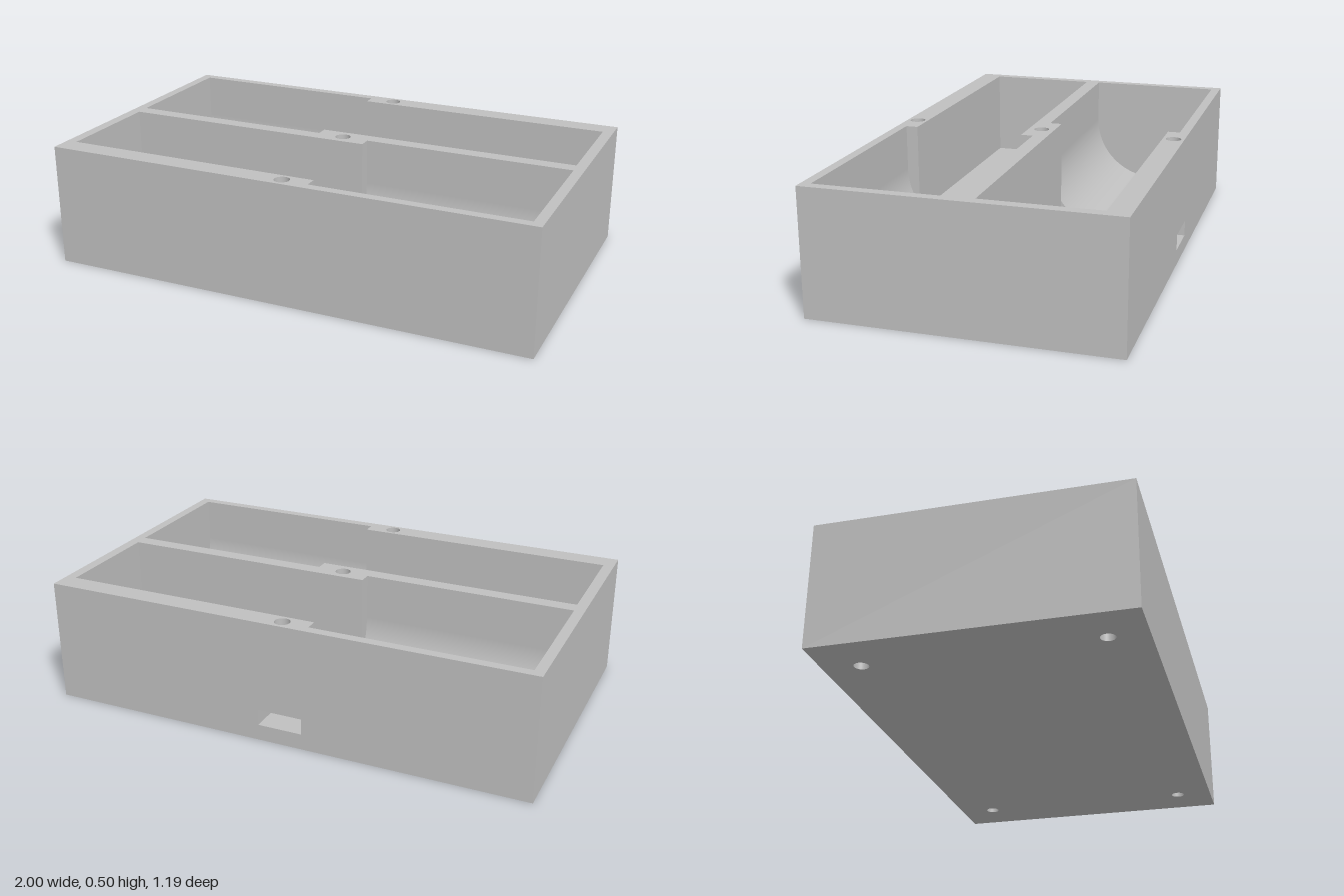
import * as THREE from 'three';

const W = 1, D = 0.593, H = 0.5;              // half width, half depth, height
const ZC = -0.28, R = 0.275, AXIS = 0.317;    // trough centre, radius, axis height
const X0 = -0.96, XS = -0.11, X1 = 0.957;     // trough end, shoulder, tray end
const HALF = 0.226, FLOOR = 0.13, LOW = 0.065; // tray half depth, floor, recess floor
const ZB = ZC - HALF, ZF = ZC + HALF;

const grey = new THREE.MeshStandardMaterial({ color: 0xc0c0c0, side: THREE.DoubleSide });
grey.name = 'grey plastic';

const rect = (a0, a1, b0, b1) => [[a0, b0], [a1, b0], [a1, b1], [a0, b1]];

const circle = (a, b, r, n = 32) => Array.from({ length: n }, (_, i) => {
  const t = (i / n) * Math.PI * 2;
  return [a + r * Math.cos(t), b + r * Math.sin(t)];
});

// Points on the trough's curve, in (z, y)
const arc = (t0, t1, n = 40) => Array.from({ length: n + 1 }, (_, i) => {
  const t = t0 + ((t1 - t0) * i) / n;
  return [ZC + R * Math.cos(t), AXIS + R * Math.sin(t)];
});

function add(group, name, geometry) {
  const mesh = new THREE.Mesh(geometry, grey);
  mesh.name = name;
  group.add(mesh);
  return mesh;
}

// Flat face square to an axis; outline is (z, y), (x, z) or (x, y)
function sheet(group, name, axis, sign, at, outline, holes = []) {
  const path = (pts) => pts.map(([a, b]) => new THREE.Vector2(a, b));
  const shape = new THREE.Shape(path(outline));
  holes.forEach((h) => shape.holes.push(new THREE.Path(path(h))));
  const g = new THREE.ShapeGeometry(shape);
  const p = g.attributes.position;
  for (let i = 0; i < p.count; i++) {
    const a = p.getX(i), b = p.getY(i);
    if (axis === 'x') p.setXYZ(i, at, b, a);
    else if (axis === 'y') p.setXYZ(i, a, at, b);
    else p.setXYZ(i, a, b, at);
  }
  if ((axis === 'z' ? 1 : -1) !== sign) g.index.array.reverse();
  g.computeVertexNormals();
  return add(group, name, g);
}

// Turns a geometry inside out
function inward(g) {
  g.index.array.reverse();
  const n = g.attributes.normal.array;
  for (let i = 0; i < n.length; i++) n[i] = -n[i];
  return g;
}

// Blind round hole going down (dir -1) or up (dir 1) from a face
function blindHole(group, name, x, z, r, y, depth, dir) {
  const bore = inward(new THREE.CylinderGeometry(r, r, depth, 32, 1, true));
  bore.translate(x, y + (dir * depth) / 2, z);
  add(group, name, bore);
  sheet(group, name + 'End', 'y', -dir, y + dir * depth, circle(x, z, r));
}

// Four walls and floor of a rectangular recess
function recess(group, name, x0, x1, z0, z1, y0, y1) {
  sheet(group, name + 'Floor', 'y', 1, y0, rect(x0, x1, z0, z1));
  sheet(group, name + 'Side', 'x', 1, x0, rect(z0, z1, y0, y1));
  sheet(group, name + 'Side', 'x', -1, x1, rect(z0, z1, y0, y1));
  sheet(group, name + 'Front', 'z', -1, z1, rect(x0, x1, y0, y1));
  if (z0 > -D) sheet(group, name + 'Back', 'z', 1, z0, rect(x0, x1, y0, y1));
}

// Round-bottomed trough opening into a flat tray
function compartment(name, withChannel) {
  const g = new THREE.Group();
  g.name = name;

  const trough = inward(new THREE.CylinderGeometry(R, R, XS - X0, 64, 1, true, Math.PI, Math.PI));
  trough.rotateZ(Math.PI / 2).translate((X0 + XS) / 2, AXIS, ZC);
  add(g, 'troughCurve', trough);
  sheet(g, 'troughWall', 'z', 1, ZC - R, rect(X0, XS, AXIS, H));
  sheet(g, 'troughWall', 'z', -1, ZC + R, rect(X0, XS, AXIS, H));
  sheet(g, 'troughEnd', 'x', 1, X0, [[ZC - R, H], ...arc(Math.PI, 2 * Math.PI), [ZC + R, H]]);

  // Shoulders, and the step up to the tray floor
  const tSide = Math.acos(HALF / R), tFloor = Math.asin((AXIS - FLOOR) / R);
  sheet(g, 'shoulder', 'x', -1, XS, [[ZB, H], [ZC - R, H], ...arc(Math.PI, Math.PI + tSide, 12)]);
  sheet(g, 'shoulder', 'x', -1, XS, [[ZF, H], [ZC + R, H], ...arc(2 * Math.PI, 2 * Math.PI - tSide, 12)]);
  sheet(g, 'floorStep', 'x', -1, XS, arc(Math.PI + tFloor, 2 * Math.PI - tFloor));
  sheet(g, 'floorNotch', 'x', 1, XS, [[ZB, FLOOR], ...arc(Math.PI + tSide, Math.PI + tFloor, 6)]);
  sheet(g, 'floorNotch', 'x', 1, XS, [[ZF, FLOOR], ...arc(2 * Math.PI - tSide, 2 * Math.PI - tFloor, 6)]);

  // Tray
  sheet(g, 'trayWall', 'z', 1, ZB, rect(XS, X1, FLOOR, H));
  sheet(g, 'trayWall', 'z', -1, ZF, rect(XS, X1, FLOOR, H));
  sheet(g, 'trayEnd', 'x', -1, X1, rect(ZB, ZF, FLOOR, H));
  const slot = [0.78, 0.932, -0.318, ZF];
  const x = withChannel ? 0.092 : XS;
  sheet(g, 'trayFloor', 'y', 1, FLOOR,
    [[x, ZB], [X1, ZB], [X1, ZF], [slot[1], ZF], [slot[1], slot[2]], [slot[0], slot[2]], [slot[0], ZF], [x, ZF]]);
  recess(g, 'floorRecess', ...slot, LOW, FLOOR);

  // Cable channel running out through the wall
  if (withChannel) {
    sheet(g, 'trayFloorStrip', 'y', 1, FLOOR, rect(XS, -0.092, ZB, ZF));
    recess(g, 'cableChannel', -0.092, 0.092, -D, ZF, LOW, FLOOR);
    sheet(g, 'cableChannelTop', 'y', -1, FLOOR, rect(-0.092, 0.092, -D, ZB));
  }
  return g;
}

export function createModel() {
  const model = new THREE.Group();
  model.name = 'batteryTray';

  // Compartments, the front one turned half round
  model.add(compartment('backCompartment', true));
  const front = compartment('frontCompartment', false);
  front.rotation.y = Math.PI;
  model.add(front);

  // Rim with both openings and three pin holes
  const opening = [[X0, ZC - R], [XS, ZC - R], [XS, ZB], [X1, ZB], [X1, ZF], [XS, ZF], [XS, ZC + R], [X0, ZC + R]];
  const pins = [-0.549, 0, 0.549], pinR = 0.031;
  sheet(model, 'topRim', 'y', 1, H, rect(-W, W, -D, D),
    [opening, opening.map(([a, b]) => [-a, -b]), ...pins.map((z) => circle(0, z, pinR))]);
  pins.forEach((z) => blindHole(model, 'pinHole', 0, z, pinR, H, 0.05, -1));

  // Base with four foot holes
  const feet = [[-0.82, -0.447], [0.82, -0.447], [-0.82, 0.447], [0.82, 0.447]], footR = 0.028;
  sheet(model, 'base', 'y', -1, 0, rect(-W, W, -D, D), feet.map(([a, b]) => circle(a, b, footR)));
  feet.forEach(([a, b]) => blindHole(model, 'footHole', a, b, footR, 0, 0.03, 1));

  // Outer walls
  sheet(model, 'frontWall', 'z', 1, D, rect(-W, W, 0, H));
  sheet(model, 'backWall', 'z', -1, -D, rect(-W, W, 0, H), [rect(-0.092, 0.092, LOW, FLOOR)]);
  sheet(model, 'leftWall', 'x', 1, W, rect(-D, D, 0, H));
  sheet(model, 'rightWall', 'x', -1, -W, rect(-D, D, 0, H));
  return model;
}
